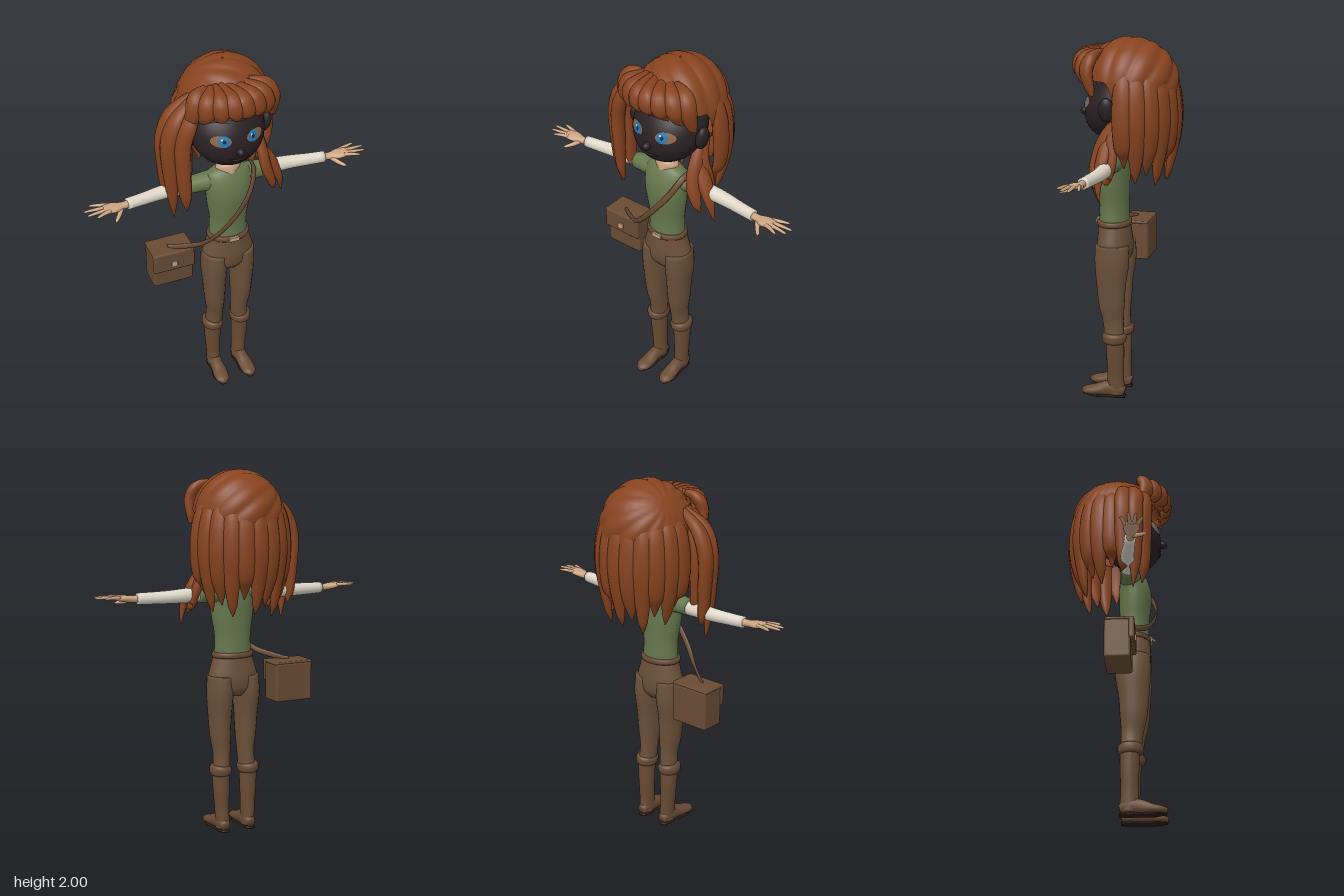
import * as THREE from 'three';
import { RoundedBoxGeometry } from 'three/addons/geometries/RoundedBoxGeometry.js';

const V = (x, y, z) => new THREE.Vector3(x, y, z);
const X = V(1, 0, 0), Y = V(0, 1, 0), Z = V(0, 0, 1);

const mat = (name, color, side = THREE.FrontSide) => {
  const m = new THREE.MeshStandardMaterial({ color, side });
  m.name = name;
  return m;
};

// Closed surface from rings; ring(i) gives a function of angle returning a point
function rings(count, sides, ring, start, end) {
  const pos = [], idx = [];
  for (let i = 0; i <= count; i++) {
    const f = ring(i / count);
    for (let j = 0; j < sides; j++) pos.push(...f((j / sides) * Math.PI * 2).toArray());
  }
  for (let i = 0; i < count; i++) for (let j = 0; j < sides; j++) {
    const a = i * sides + j, b = i * sides + (j + 1) % sides, c = a + sides, d = b + sides;
    idx.push(a, b, c, b, d, c);
  }
  const last = count * sides, n = last + sides;
  if (start) {
    pos.push(...start.toArray(), ...end.toArray());
    for (let j = 0; j < sides; j++) {
      const k = (j + 1) % sides;
      idx.push(n, k, j, n + 1, last + j, last + k);
    }
  }
  const g = new THREE.BufferGeometry();
  g.setAttribute('position', new THREE.Float32BufferAttribute(pos, 3));
  g.setIndex(idx);
  g.computeVertexNormals();
  return g;
}

// Elliptical sections along a path; each station is [x, y, z, width, thickness]
function sweep(stations, ref, sides = 16, steps = 5) {
  const path = new THREE.CatmullRomCurve3(stations.map(s => V(s[0], s[1], s[2])));
  const size = new THREE.CatmullRomCurve3(stations.map(s => V(s[3], s[4], 0)), false, 'catmullrom');
  const ring = u => {
    const p = path.getPoint(u), r = size.getPoint(u), t = path.getTangent(u);
    const s = ref.clone().cross(t).normalize(), n = t.clone().cross(s);
    return a => p.clone().addScaledVector(s, Math.max(r.x, 0.002) * Math.cos(a))
      .addScaledVector(n, Math.max(r.y, 0.002) * Math.sin(a));
  };
  return rings((stations.length - 1) * steps, sides, ring, path.getPoint(0), path.getPoint(1));
}

// Front surface of the head
const headZ = (x, y) => 0.04 + 0.25 * (1.65 - y)
  + 0.18 * Math.sqrt(Math.max(0, 1 - (x / 0.2) ** 2 - ((y - 1.65) / 0.19) ** 2));

export function createModel() {
  const model = new THREE.Group();
  const hair = mat('auburn hair', 0x87431f, THREE.DoubleSide), face = mat('dark face', 0x2a2023);
  const skin = mat('tan skin', 0xcba582), shirt = mat('green shirt', 0x66774d);
  const sleeve = mat('cream sleeve', 0xded6c7), trousers = mat('brown trousers', 0x6b5039);
  const leather = mat('brown leather', 0x694b34), eye = mat('eye brown', 0x8c6243);
  const iris = mat('blue iris', 0x1f78b4), dark = mat('dark sole', 0x2b1e17);

  const add = (name, geo, material, x = 0, y = 0, z = 0) => {
    const m = new THREE.Mesh(geo, material);
    m.name = name;
    m.position.set(x, y, z);
    model.add(m);
    return m;
  };

  // Torso, neck and belt
  add('shirt', sweep([[0, 0.99, 0.072, 0.105, 0.082], [0, 1.1, 0.072, 0.103, 0.08], [0, 1.2, 0.076, 0.118, 0.086],
    [0, 1.27, 0.078, 0.125, 0.09], [0, 1.33, 0.072, 0.13, 0.084], [0, 1.385, 0.062, 0.118, 0.068],
    [0, 1.42, 0.055, 0.06, 0.048]], Z, 28), shirt);
  add('neck', sweep([[0, 1.36, 0.1, 0.02, 0.036], [0, 1.41, 0.07, 0.068, 0.058], [0, 1.44, 0.055, 0.05, 0.048],
    [0, 1.53, 0.05, 0.046, 0.045]], Z, 20), skin);
  add('hips', sweep([[0, 1.0, 0.072, 0.108, 0.085], [0, 0.94, 0.07, 0.126, 0.09], [0, 0.87, 0.068, 0.145, 0.095],
    [0, 0.81, 0.066, 0.135, 0.088], [0, 0.77, 0.066, 0.09, 0.06]], Z, 28), trousers);
  add('belt', sweep([[0, 0.982, 0.072, 0.114, 0.09], [0, 0.99, 0.072, 0.118, 0.093], [0, 1.002, 0.072, 0.118, 0.093],
    [0, 1.012, 0.072, 0.112, 0.088]], Z, 28, 2), leather);
  add('beltBuckle', new RoundedBoxGeometry(0.06, 0.026, 0.012, 2, 0.004), skin, 0, 0.998, 0.165);

  for (const s of [1, -1]) {
    const side = s > 0 ? 'left' : 'right';
    const limb = (name, st, ref, m, n, k) =>
      add(side + name, sweep(st.map(([x, ...r]) => [x * s, ...r]), ref, n, k), m);

    // Legs and boots
    limb('Leg', [[0.075, 0.88, 0.068, 0.07, 0.092], [0.08, 0.78, 0.066, 0.07, 0.095], [0.08, 0.66, 0.07, 0.062, 0.082],
      [0.078, 0.54, 0.068, 0.055, 0.072], [0.074, 0.44, 0.06, 0.046, 0.058], [0.08, 0.34, 0.052, 0.048, 0.055]], Z, trousers, 20);
    limb('BootCuff', [[0.084, 0.325, 0.053, 0.05, 0.055], [0.084, 0.335, 0.053, 0.058, 0.066],
      [0.084, 0.365, 0.053, 0.06, 0.068], [0.083, 0.38, 0.053, 0.05, 0.056]], Z, leather, 20, 3);
    limb('BootShaft', [[0.084, 0.35, 0.05, 0.05, 0.052], [0.083, 0.25, 0.047, 0.046, 0.05], [0.08, 0.14, 0.046, 0.04, 0.046],
      [0.078, 0.06, 0.045, 0.038, 0.048], [0.078, 0.02, 0.045, 0.037, 0.046]], Z, leather, 20);
    limb('BootFoot', [[0.078, 0.035, -0.005, 0.025, 0.024], [0.078, 0.05, 0.04, 0.039, 0.045], [0.079, 0.047, 0.1, 0.037, 0.042],
      [0.082, 0.035, 0.16, 0.042, 0.03], [0.084, 0.028, 0.21, 0.038, 0.023], [0.085, 0.025, 0.238, 0.015, 0.014]], Y, leather, 16);
    limb('Sole', [[0.078, 0.008, -0.006, 0.024, 0.008], [0.078, 0.008, 0.04, 0.037, 0.008], [0.08, 0.008, 0.1, 0.034, 0.008],
      [0.083, 0.008, 0.17, 0.04, 0.008], [0.085, 0.01, 0.232, 0.016, 0.006]], Y, dark, 12);

    // Arms
    limb('ShirtSleeve', [[0.07, 1.34, 0.06, 0.06, 0.058], [0.14, 1.34, 0.055, 0.052, 0.05], [0.22, 1.335, 0.052, 0.045, 0.045]], Y, shirt);
    limb('Sleeve', [[0.19, 1.335, 0.052, 0.04, 0.04], [0.27, 1.335, 0.052, 0.04, 0.04], [0.36, 1.332, 0.054, 0.037, 0.036],
      [0.46, 1.33, 0.066, 0.032, 0.033], [0.555, 1.33, 0.078, 0.03, 0.031]], Y, sleeve);
    // Hands
    limb('Palm', [[0.545, 1.33, 0.078, 0.02, 0.02], [0.585, 1.33, 0.083, 0.023, 0.018], [0.63, 1.335, 0.088, 0.04, 0.018],
      [0.67, 1.34, 0.092, 0.04, 0.013], [0.685, 1.342, 0.092, 0.03, 0.008]], Y, skin);
    [[0.745, 0.04, 0.062], [0.783, 0.08, 0.083], [0.775, 0.118, 0.103], [0.735, 0.148, 0.119]].forEach(([x, z, z0], i) =>
      limb('Finger' + (i + 1), [[0.655, 1.342, z0, 0.011, 0.01], [(x + 0.655) / 2, 1.344, (z + z0) / 2, 0.01, 0.009],
        [x - 0.008, 1.343, z, 0.007, 0.006], [x, 1.342, z, 0.003, 0.003]], Y, skin, 8, 3));
    limb('Thumb', [[0.59, 1.325, 0.095, 0.013, 0.014], [0.615, 1.312, 0.13, 0.012, 0.012],
      [0.638, 1.305, 0.16, 0.009, 0.008], [0.645, 1.303, 0.17, 0.003, 0.003]], Y, skin, 8, 4);
  }

  // Head with nose, ears and mouth
  const skull = new THREE.SphereGeometry(1, 40, 28);
  skull.scale(0.2, 0.19, 0.18);
  const sp = skull.attributes.position;
  for (let i = 0; i < sp.count; i++) sp.setZ(i, sp.getZ(i) - 0.25 * sp.getY(i));
  skull.computeVertexNormals();
  add('head', skull, face, 0, 1.65, 0.04);
  add('nose', new THREE.SphereGeometry(1, 16, 12), face, 0, 1.598, 0.232).scale.set(0.022, 0.022, 0.028);
  const onFace = (x, y, w, t, off = 0) => [x, y, headZ(x, y) + off, w, t];
  add('mouth', sweep([onFace(-0.06, 1.55, 0.002, 0.002), onFace(-0.03, 1.542, 0.005, 0.006), onFace(0, 1.54, 0.006, 0.008),
    onFace(0.03, 1.542, 0.005, 0.006), onFace(0.06, 1.55, 0.002, 0.002)], Z, 8), face);

  // Painted eyes and brows that follow the face
  const patch = (name, cx, cy, rx, ry, off, m) => {
    const g = new THREE.RingGeometry(0, 1, 28, 4), p = g.attributes.position;
    for (let i = 0; i < p.count; i++) {
      const x = cx + p.getX(i) * rx, y = cy + p.getY(i) * ry;
      p.setXYZ(i, x, y, headZ(x, y) + off);
    }
    g.computeVertexNormals();
    add(name, g, m);
  };
  for (const s of [1, -1]) {
    const side = s > 0 ? 'left' : 'right';
    patch(side + 'EyeRim', s * 0.09, 1.662, 0.056, 0.037, 0.002, dark);
    patch(side + 'Eye', s * 0.09, 1.66, 0.049, 0.029, 0.004, eye);
    patch(side + 'Iris', s * 0.078, 1.661, 0.028, 0.029, 0.006, iris);
    patch(side + 'Pupil', s * 0.078, 1.661, 0.009, 0.011, 0.008, dark);
    patch(side + 'EyeGlint', s * 0.078 - 0.01, 1.672, 0.005, 0.005, 0.009, sleeve);
    add(side + 'Brow', sweep([onFace(s * 0.035, 1.742, 0.004, 0.003, 0.003), onFace(s * 0.08, 1.752, 0.005, 0.003, 0.003),
      onFace(s * 0.13, 1.738, 0.002, 0.002, 0.003)], Z, 8), eye);
    const ear = add(side + 'Ear', new THREE.SphereGeometry(1, 16, 14), face, s * 0.212, 1.64, 0.055);
    ear.scale.set(0.03, 0.066, 0.042);
    ear.rotation.z = -s * 0.15;
  }

  // Hair cap with ridges fanning out from a crown on the right
  const crown = V(-0.75, 0.62, -0.2).normalize();
  const e1 = crown.clone().cross(Y).normalize(), e2 = crown.clone().cross(e1);
  add('hairCap', rings(36, 120, u => a => {
    const low = THREE.MathUtils.lerp(2.55, 1.42, THREE.MathUtils.smoothstep(Math.cos(a), -0.15, 0.35));
    const t = Math.max(u, 0.01) * low;
    const d = V(Math.sin(t) * Math.sin(a), Math.cos(t), Math.sin(t) * Math.cos(a));
    const q = Math.atan2(d.dot(e1), d.dot(e2)), far = Math.sqrt(Math.max(0, 1 - d.dot(crown) ** 2));
    const k = 0.97 + 0.045 * Math.abs(Math.sin(q * 7)) * far;
    return V(0.01 + d.x * 0.245 * k, 1.75 + d.y * 0.25 * k, -0.025 + d.z * 0.255 * k);
  }).scale(1, 1, 1), hair);

  const lock = (name, st, ref) => add(name, sweep(st, ref.normalize(), 12, 6), hair);

  // Fringe clumps: tip x, tip y, root x
  [[-0.225, 1.72, -0.13], [-0.175, 1.76, -0.11], [-0.11, 1.775, -0.09], [-0.04, 1.79, -0.06], [0.03, 1.775, -0.03],
    [0.1, 1.77, 0.01], [0.165, 1.75, 0.05], [0.215, 1.71, 0.09]].forEach(([x, y, r], i) => {
    const c = 0.255 * Math.sqrt(1 - (x / 0.28) ** 2), m = r * 0.35 + x * 0.65;
    lock('fringe' + (i + 1), [[r, 1.93, 0.11, 0.02, 0.015], [m, 1.9, c - 0.015, 0.045, 0.032],
      [x * 0.95, 1.84, c, 0.045, 0.032], [x, y + 0.03, c - 0.025, 0.027, 0.02], [x + 0.012, y, c - 0.04, 0.004, 0.004]],
      V(x, 0.1, 0.25));
  });

  // Long locks round the back
  const tips = [1.36, 1.27, 1.32, 1.23, 1.29, 1.25, 1.33, 1.24, 1.3, 1.26, 1.34];
  tips.forEach((tip, i) => {
    const a = (i / (tips.length - 1) * 2 - 1) * 1.5, x = Math.sin(a), z = -Math.cos(a);
    const at = (y, r, w, t) => [0.01 + x * r, y, z * r * 0.96 - 0.025, w, t];
    lock('backLock' + (i + 1), [at(1.87, 0.17, 0.03, 0.02), at(1.76, 0.225, 0.052, 0.035), at(1.6, 0.25, 0.056, 0.035),
      at(1.45, 0.24, 0.045, 0.03), at(tip + 0.06, 0.215, 0.025, 0.018), at(tip, 0.2, 0.003, 0.003)], V(x, 0, z));
  });

  // Large bunch hanging on the right side
  [[-0.335, 0.03, 1.27], [-0.325, 0.09, 1.18], [-0.27, 0.135, 1.23], [-0.255, 0.06, 1.3]].forEach(([x, z, tip], i) =>
    lock('rightBunch' + (i + 1), [[-0.17, 1.86, 0.02 + z * 0.4, 0.025, 0.02], [x * 0.85, 1.77, z, 0.045, 0.036],
      [x, 1.65, z, 0.05, 0.038], [x, 1.48, z, 0.046, 0.034], [x + 0.01, 1.32, z, 0.032, 0.025],
      [x + 0.02, tip, z - 0.01, 0.003, 0.003]], V(x, 0, z + 0.05)));

  // Loose locks by the left shoulder
  [[0.31, 0.07, 1.18], [0.25, 0.11, 1.23], [0.285, 0.03, 1.3]].forEach(([x, z, tip], i) =>
    lock('leftLock' + (i + 1), [[0.17, 1.62, -0.03, 0.025, 0.02], [0.175 + i * 0.01, 1.5, 0.02 + z * 0.4, 0.038, 0.028],
      [x * 0.8, 1.38, z, 0.04, 0.028], [x * 0.93, 1.28, z + 0.01, 0.025, 0.02], [x, tip, z, 0.003, 0.003]], V(1, 0.2, 0.6)));

  // Shoulder bag and strap
  add('bagBody', new RoundedBoxGeometry(0.225, 0.215, 0.135, 3, 0.012), leather, -0.315, 0.832, 0.003);
  add('bagFlap', new RoundedBoxGeometry(0.232, 0.118, 0.03, 3, 0.01), leather, -0.315, 0.888, 0.076);
  add('bagLid', new RoundedBoxGeometry(0.232, 0.016, 0.15, 2, 0.007), leather, -0.315, 0.94, 0.014);
  add('bagClasp', new RoundedBoxGeometry(0.032, 0.034, 0.008, 2, 0.003), skin, -0.315, 0.873, 0.093);
  add('bagStrap', sweep([[-0.33, 0.945, 0.03, 0.016, 0.007], [-0.27, 0.962, 0.07, 0.016, 0.007], [-0.175, 1.0, 0.135, 0.016, 0.007],
    [-0.1, 1.065, 0.175, 0.016, 0.007], [0.01, 1.19, 0.192, 0.016, 0.007], [0.09, 1.3, 0.165, 0.016, 0.007],
    [0.13, 1.385, 0.11, 0.016, 0.007], [0.135, 1.4, 0.06, 0.016, 0.007]], V(0.5, 0.3, 1).normalize(), 10), leather);

  return model;
}
